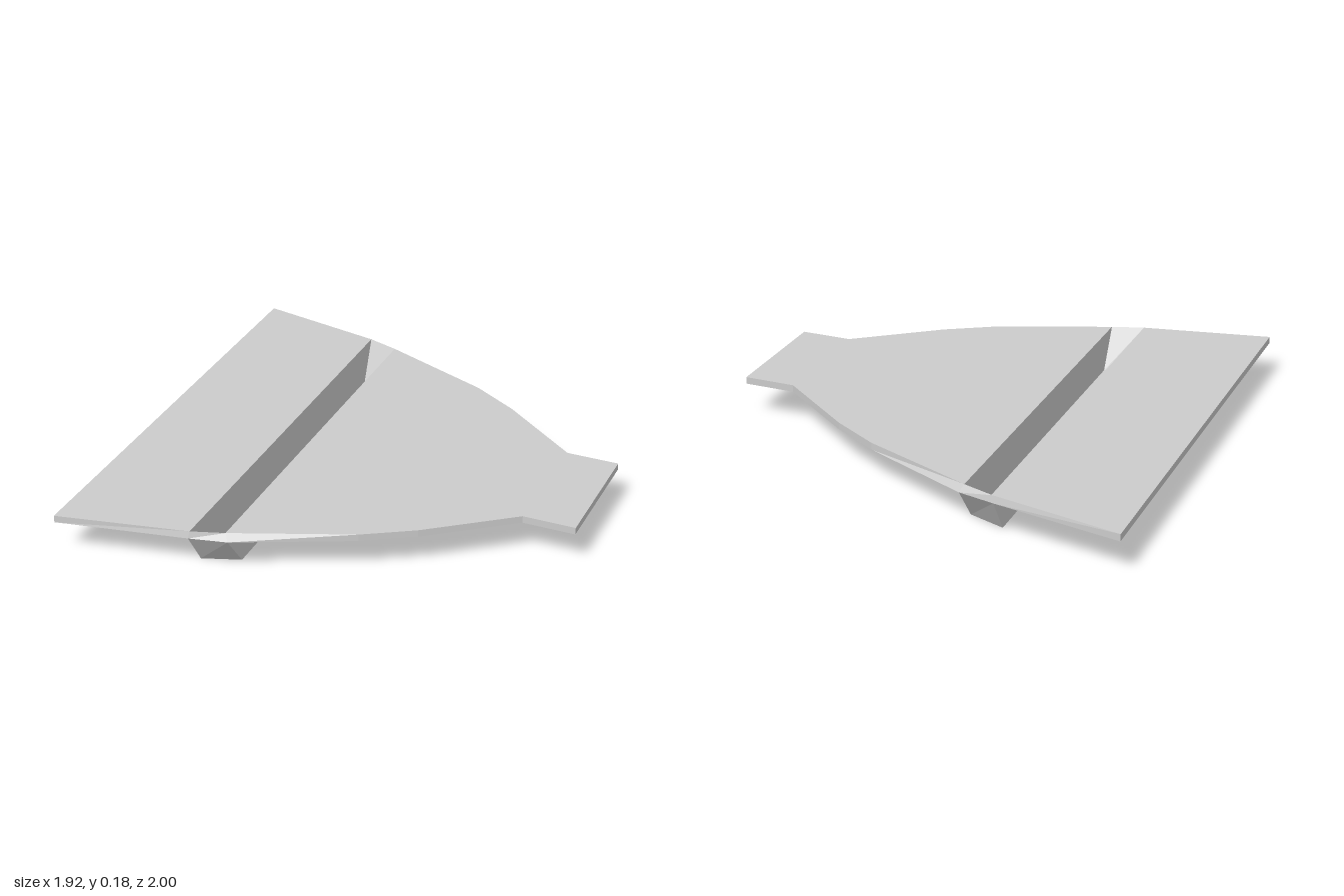
import * as THREE from 'three';

const TOP = 0.18, UNDER = 0.15;
const HOLE = { x: -0.015, z: 0.41, r: 0.125, floor: 0.153 };

// Half outlines as [x, z], running from the wide end to the tab
const tab = [[0.2, 0.65], [0.4, 0.53], [0.74, 0.27], [0.96, 0.27]];
const topEdge = [[-0.96, 1], [-0.415, 0.89], [-0.28, 0.845], ...tab];
const underEdge = [[-0.96, 1], [-0.42, 0.897], [-0.265, 0.862], ...tab];

const flipZ = ([x, y, z]) => [x, y, -z];

// Flat-shaded mesh from quads whose corners run counter-clockwise
function quadMesh(name, quads, material) {
  const points = quads.flatMap(([a, b, c, d]) => [a, b, c, a, c, d]).flat();
  const geometry = new THREE.BufferGeometry();
  geometry.setAttribute('position', new THREE.Float32BufferAttribute(points, 3));
  geometry.computeVertexNormals();
  const mesh = new THREE.Mesh(geometry, material);
  mesh.name = name;
  return mesh;
}

// Horizontal face mirrored across z = 0, facing up or down
function sheet(name, half, y, up, withHoles, material) {
  const outline = [...half, ...half.map(([x, z]) => [x, -z]).reverse()];
  const shape = new THREE.Shape(outline.map(([x, z]) => new THREE.Vector2(x, z)));
  if (withHoles) {
    for (const s of [-1, 1]) {
      shape.holes.push(new THREE.Path().absarc(HOLE.x, s * HOLE.z, HOLE.r, 0, Math.PI * 2));
    }
  }
  const geometry = new THREE.ShapeGeometry(shape, 24);
  geometry.rotateX(up ? -Math.PI / 2 : Math.PI / 2).translate(0, y, 0);
  const mesh = new THREE.Mesh(geometry, material);
  mesh.name = name;
  return mesh;
}

// Open-topped trough: a, b are rim corners and c, d floor corners of the +z end
function troughQuads(a, b, c, d) {
  const [a2, b2, c2, d2] = [a, b, c, d].map(flipZ);
  return [
    [d, c, b, a], [a2, b2, c2, d2],
    [d2, d, a, a2], [c, c2, b2, b],
    [d, d2, c2, c],
  ];
}

export function createModel() {
  const group = new THREE.Group();
  const material = new THREE.MeshStandardMaterial({ color: 0xcccccc });
  const inward = new THREE.MeshStandardMaterial({ color: 0xcccccc, side: THREE.BackSide });

  // Plate faces on either side of the trough
  group.add(
    sheet('wideEndTop', topEdge.slice(0, 2), TOP, true, false, material),
    sheet('mainPlateTop', topEdge.slice(2), TOP, true, true, material),
    sheet('wideEndUnderside', underEdge.slice(0, 2), UNDER, false, false, material),
    sheet('mainPlateUnderside', underEdge.slice(2), UNDER, false, false, material),
  );

  // Rim of the plate
  const t = topEdge.map(([x, z]) => [x, TOP, z]);
  const u = underEdge.map(([x, z]) => [x, UNDER, z]);
  const rim = [];
  for (let i = 0; i < t.length - 1; i++) {
    const side = [u[i], u[i + 1], t[i + 1], t[i]];
    rim.push(side, side.map(flipZ).reverse());
  }
  const n = t.length - 1;
  rim.push([flipZ(u[0]), u[0], t[0], flipZ(t[0])]);
  rim.push([u[n], flipZ(u[n]), flipZ(t[n]), t[n]]);
  group.add(quadMesh('plateRim', rim, material));

  // Trough with sloping ends: outer shell and reversed inner shell
  const outer = troughQuads(u[1], u[2], [-0.265, 0, 0.745], [-0.42, 0, 0.8]);
  const inner = troughQuads(t[1], t[2], [-0.285, 0.013, 0.738], [-0.405, 0.013, 0.79]);
  group.add(quadMesh('troughOutside', outer, material));
  group.add(quadMesh('troughInside', inner.map((q) => q.reverse()), material));

  // Two round blind recesses
  const depth = TOP - HOLE.floor;
  for (const s of [-1, 1]) {
    const recess = new THREE.Group();
    recess.name = s > 0 ? 'frontRecess' : 'backRecess';
    const wall = new THREE.Mesh(
      new THREE.CylinderGeometry(HOLE.r, HOLE.r, depth, 48, 1, true), inward);
    wall.name = 'recessWall';
    wall.position.y = depth / 2;
    const floor = new THREE.Mesh(
      new THREE.CircleGeometry(HOLE.r, 48).rotateX(-Math.PI / 2), material);
    floor.name = 'recessFloor';
    recess.add(wall, floor);
    recess.position.set(HOLE.x, HOLE.floor, s * HOLE.z);
    group.add(recess);
  }
  return group;
}
